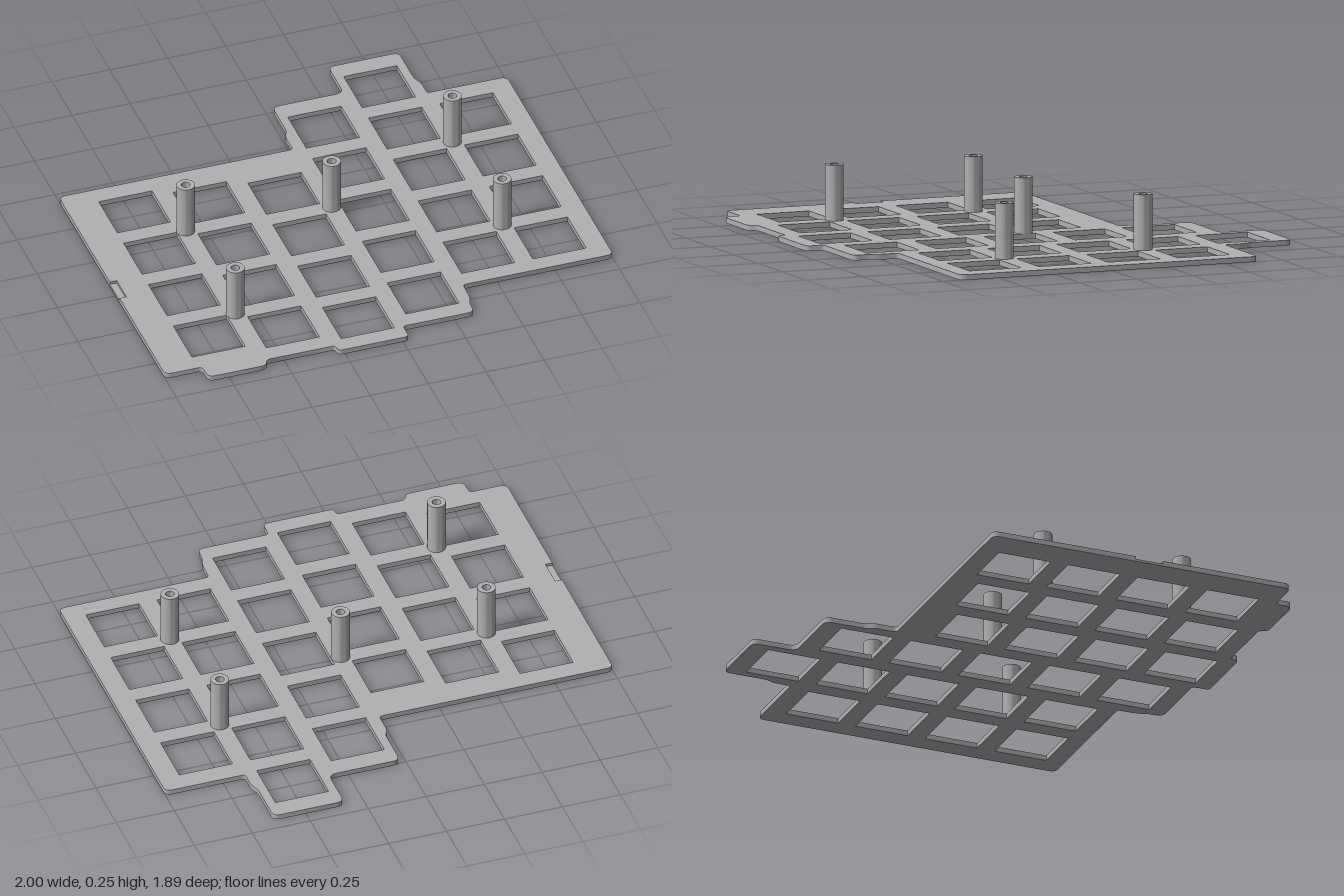
import * as THREE from 'three';
import { toCreasedNormals } from 'three/addons/utils/BufferGeometryUtils.js';

const THICK = 0.022;
const HOLE = 0.23;
const PITCH = 0.307;

// Polygon in plan (x, z) with rounded corners; an optional third value is the corner radius.
function roundedOutline(points) {
  const shape = new THREE.Shape();
  const n = points.length;
  const P = points.map(([x, z]) => new THREE.Vector2(x, -z));
  for (let i = 0; i < n; i++) {
    const a = P[(i + n - 1) % n], b = P[i], c = P[(i + 1) % n];
    const want = points[i][2] ?? 0.03;
    const toward = (q) => {
      const d = b.distanceTo(q);
      return b.clone().lerp(q, Math.min(want, d * 0.48) / d);
    };
    const start = toward(a), end = toward(c);
    if (i === 0) shape.moveTo(start.x, start.y);
    else shape.lineTo(start.x, start.y);
    if (want > 0) shape.quadraticCurveTo(b.x, b.y, end.x, end.y);
  }
  shape.closePath();
  return shape;
}

function squareHole(x, z) {
  const path = new THREE.Path();
  path.moveTo(x, -z);
  path.lineTo(x, -z - HOLE);
  path.lineTo(x + HOLE, -z - HOLE);
  path.lineTo(x + HOLE, -z);
  path.closePath();
  return path;
}

export function createModel() {
  const model = new THREE.Group();
  model.name = 'keyboardPlate';
  const grey = new THREE.MeshStandardMaterial({ color: 0xb0b0b0 });
  grey.name = 'grey';

  const add = (name, geometry, x = 0, y = 0, z = 0) => {
    const mesh = new THREE.Mesh(geometry, grey);
    mesh.name = name;
    mesh.position.set(x, y, z);
    model.add(mesh);
  };

  // Stepped plate outline, with the edge notch on the -x side
  const outline = roundedOutline([
    [-1, -0.45], [0.01, -0.45, 0.015], [0.01, -0.545, 0.015], [0.028, -0.58, 0.015],
    [0.028, -0.757], [0.336, -0.757, 0.035], [0.336, -0.947], [0.64, -0.947],
    [0.64, -0.755, 0.02], [0.657, -0.72, 0.02], [0.657, -0.643, 0.015], [1, -0.643],
    [1, 0.672], [0.352, 0.672, 0.015], [0.35, 0.76, 0.02], [0.334, 0.81, 0.02],
    [0.334, 0.865], [0.026, 0.865, 0.015], [0.026, 0.94, 0.02], [-0.28, 0.94, 0.02],
    [-0.28, 0.903, 0.015], [-0.575, 0.903, 0.015], [-0.59, 0.94, 0.025], [-0.84, 0.94],
    [-0.84, 0.865, 0.02], [-1, 0.865],
    [-1, 0.3, 0], [-0.97, 0.3, 0], [-0.97, 0.18, 0], [-1, 0.18, 0],
  ]);

  // Columns of switch openings: left edge, first back edge, count
  const columns = [
    [-0.857, -0.365, 4], [-0.55, -0.327, 4], [-0.241, -0.287, 4],
    [0.065, -0.67, 5], [0.373, -0.863, 5], [0.68, -0.556, 4],
  ];
  for (const [x, z, count] of columns) {
    for (let i = 0; i < count; i++) outline.holes.push(squareHole(x, z + i * PITCH));
  }

  const plate = new THREE.ExtrudeGeometry(outline, { depth: THICK, bevelEnabled: false, curveSegments: 6 });
  plate.rotateX(-Math.PI / 2);
  add('plate', toCreasedNormals(plate, 0.6));

  // Thin floor left under the edge notch
  add('notchFloor', new THREE.BoxGeometry(0.03, 0.01, 0.12), -0.985, 0.005, 0.24);

  // Hollow standoffs with blind screw holes
  const profile = [[0.038, THICK], [0.038, 0.252], [0.018, 0.252], [0.018, THICK + 0.002], [0, THICK + 0.002]];
  const post = toCreasedNormals(
    new THREE.LatheGeometry(profile.map(([r, y]) => new THREE.Vector2(r, y)), 32), 0.6);
  const posts = [[-0.59, -0.057], [-0.59, 0.557], [0.026, -0.018], [0.641, -0.287], [0.641, 0.327]];
  for (const [x, z] of posts) add('standoff', post, x, 0, z);

  return model;
}
